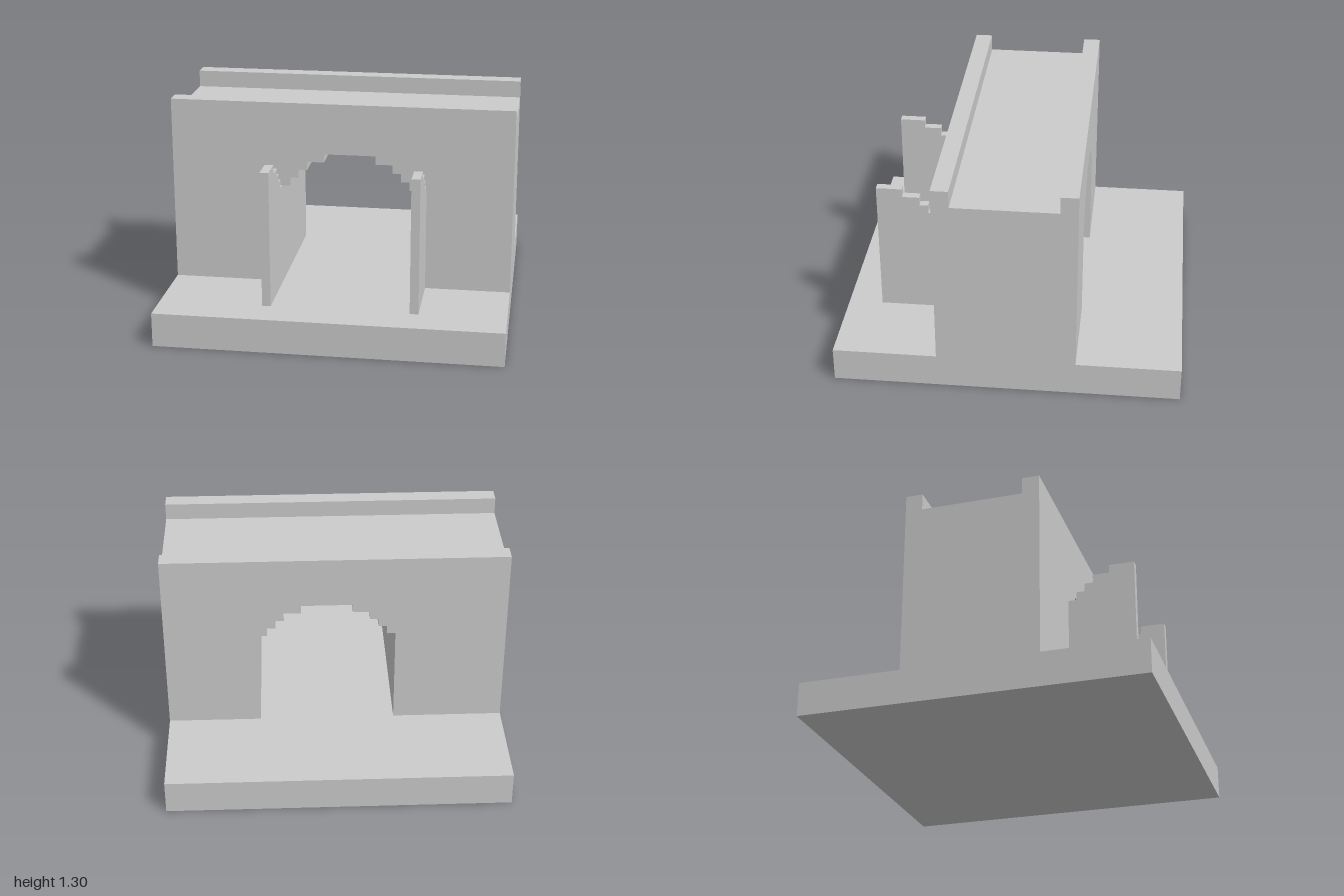
import * as THREE from 'three';

const material = new THREE.MeshStandardMaterial({ color: 0xcccccc, flatShading: true });

const BASE_TOP = 0.2;
const ARCH_CENTRE = 0.05;
// Half of the stepped arch, from the springing to the crown: [distance from centre, height]
const STEPS = [
  [0.4, 0.8], [0.35, 0.8], [0.35, 0.85], [0.3, 0.85], [0.3, 0.9],
  [0.25, 0.9], [0.25, 0.95], [0.15, 0.95], [0.15, 1],
];

function add(group, name, geometry, x = 0, y = 0, z = 0) {
  const mesh = new THREE.Mesh(geometry, material);
  mesh.name = name;
  mesh.position.set(x, y, z);
  group.add(mesh);
}

function extrude(points, depth) {
  const shape = new THREE.Shape(points.map(([x, y]) => new THREE.Vector2(x, y)));
  return new THREE.ExtrudeGeometry(shape, { depth, bevelEnabled: false });
}

export function createModel() {
  const group = new THREE.Group();
  group.name = 'gatehouse';

  // Ground slab
  add(group, 'base', new THREE.BoxGeometry(2, BASE_TOP, 2), 0, BASE_TOP / 2, 0);

  // Thick wall with the stepped archway running through it
  const right = STEPS.map(([d, y]) => [ARCH_CENTRE + d, y]);
  const left = STEPS.map(([d, y]) => [ARCH_CENTRE - d, y]).reverse();
  const wall = extrude([
    [1, BASE_TOP], [1, 1.2], [-1, 1.2], [-1, BASE_TOP],
    [ARCH_CENTRE - 0.4, BASE_TOP], ...left.reverse(),
    ...right.reverse(), [ARCH_CENTRE + 0.4, BASE_TOP],
  ], 0.8);
  add(group, 'wall', wall, 0, 0, -0.4);

  // Parapets along both edges of the walkway
  for (const [name, side] of [['frontParapet', 1], ['backParapet', -1]]) {
    add(group, name, new THREE.BoxGeometry(2, 0.1, 0.1), 0, 1.25, side * 0.35);
  }

  // Open gate leaves: each is half the arch, swung out to the front
  const leaf = extrude([
    [0.4, BASE_TOP], [0.8, BASE_TOP], [0.8, 1],
    ...STEPS.map(([d, y]) => [0.8 - d, y]).reverse(),
  ], 0.05).rotateY(-Math.PI / 2);
  add(group, 'rightGate', leaf, -0.35);
  add(group, 'leftGate', leaf, 0.5);

  return group;
}
